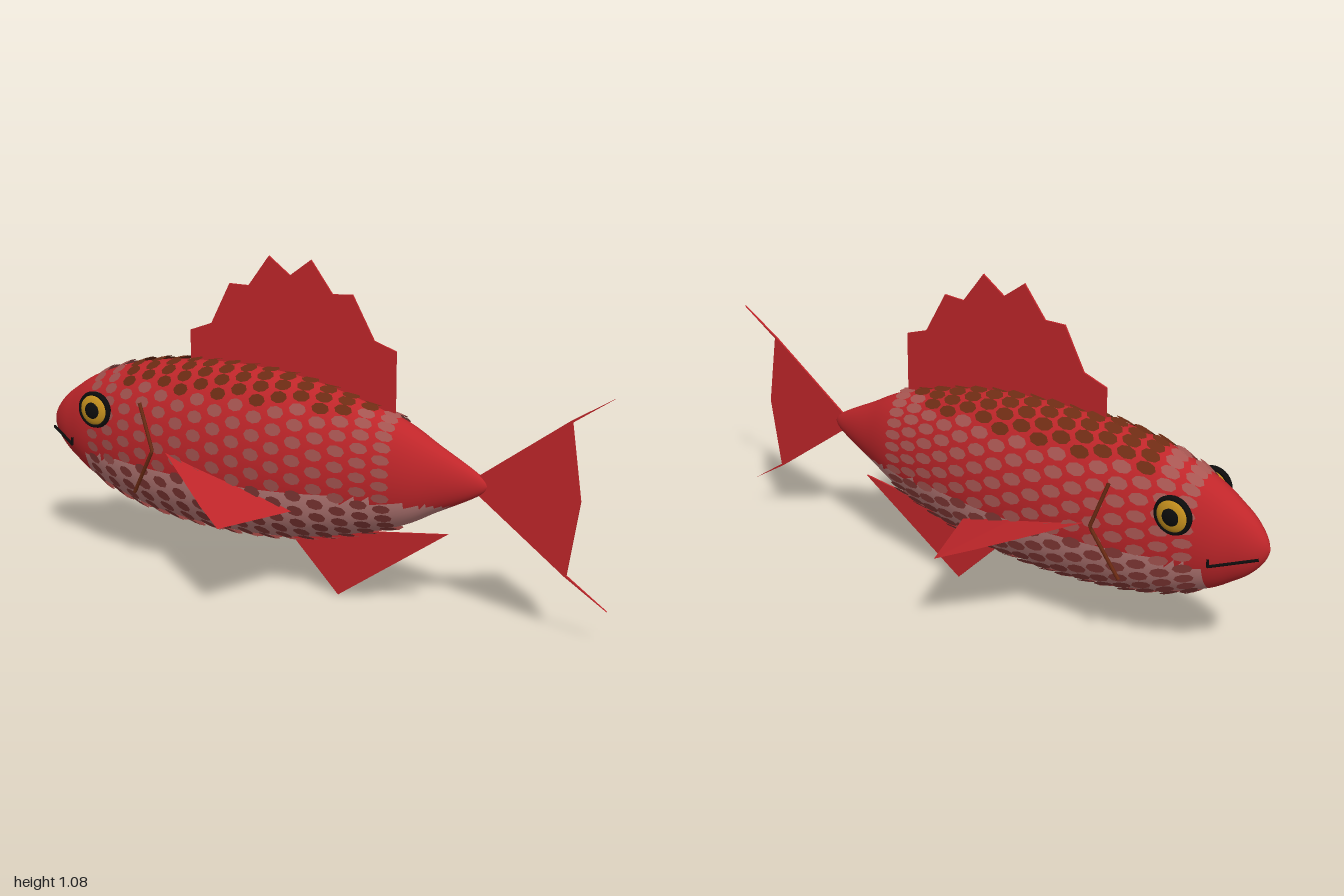
import * as THREE from 'three';
import { mergeGeometries } from 'three/addons/utils/BufferGeometryUtils.js';

const mat = (name, color, side = THREE.FrontSide) => {
  const m = new THREE.MeshStandardMaterial({ color, side });
  m.name = name;
  return m;
};
const CENTER_Y = 0.44;
const WIDTH = 0.52; // body width relative to its height

// half height of the body along x
const profile = new THREE.SplineCurve([
  [-1, 0], [-0.985, 0.04], [-0.95, 0.085], [-0.9, 0.125], [-0.8, 0.185], [-0.6, 0.25],
  [-0.3, 0.28], [0, 0.26], [0.3, 0.18], [0.45, 0.105], [0.58, 0.035], [0.613, 0],
].map(([x, r]) => new THREE.Vector2(x, r))).getPoints(66);

function halfHeight(x) {
  const i = Math.max(1, profile.findIndex((p) => p.x >= x));
  const a = profile[i - 1], b = profile[i];
  return a.y + ((b.y - a.y) * (x - a.x)) / (b.x - a.x);
}

export function createModel() {
  const group = new THREE.Group();
  const red = mat('red', 0xc0262a, THREE.DoubleSide);
  const pink = mat('belly pink', 0xc07f7c, THREE.DoubleSide);
  const rose = mat('side scale rose', 0xa85652, THREE.DoubleSide);
  const maroon = mat('belly scale maroon', 0x8a3c39, THREE.DoubleSide);
  const brown = mat('back brown', 0x6e2c14, THREE.DoubleSide);
  const gold = mat('iris gold', 0xc8921e);
  const black = mat('black', 0x0c0c0c);
  const add = (name, geometry, material) => {
    const mesh = new THREE.Mesh(geometry, material);
    mesh.name = name;
    group.add(mesh);
    return mesh;
  };

  // body, with its underside as a second material group
  const lathePoints = profile.map((p) => new THREE.Vector2(Math.max(p.y, 0), p.x));
  const body = new THREE.LatheGeometry(lathePoints, 40);
  body.rotateZ(-Math.PI / 2).scale(1, 1, WIDTH).translate(0, CENTER_Y, 0);
  const pos = body.attributes.position, index = body.index.array;
  const upper = [], lower = [];
  for (let i = 0; i < index.length; i += 3) {
    const tri = [index[i], index[i + 1], index[i + 2]];
    const x = tri.reduce((s, v) => s + pos.getX(v), 0) / 3;
    const y = tri.reduce((s, v) => s + pos.getY(v), 0) / 3;
    (y < 0.36 && x > -0.82 ? lower : upper).push(...tri);
  }
  body.setIndex([...upper, ...lower]);
  body.addGroup(0, upper.length, 0);
  body.addGroup(upper.length, lower.length, 1);
  add('body', body, [red, pink]);

  // staggered rings of scales, tipped slightly outward toward the tail
  const scales = { back: [], side: [], belly: [] };
  const columns = 16, perRing = 28;
  for (let c = 0; c < columns; c++) {
    const x = -0.77 + c * 0.071;
    const r = halfHeight(x);
    const slope = (halfHeight(x + 0.01) - halfHeight(x - 0.01)) / 0.02;
    for (let k = 0; k < perRing; k++) {
      const a = ((k + (c % 2) / 2) / perRing) * Math.PI * 2;
      const cos = Math.cos(a), sin = Math.sin(a);
      const along = new THREE.Vector3(1, slope * cos, slope * sin * WIDTH).normalize();
      const around = new THREE.Vector3(0, -sin, cos * WIDTH).normalize();
      const normal = new THREE.Vector3().crossVectors(around, along).normalize();
      if (normal.y * cos + normal.z * sin < 0) {
        normal.negate();
        around.negate();
      }
      const p = new THREE.Vector3(x, CENTER_Y + r * cos, r * sin * WIDTH).addScaledVector(normal, 0.006);
      const scale = new THREE.CircleGeometry(1, 8);
      scale.scale(0.031, 0.021 * Math.min(1, 0.3 + r / 0.4), 1).rotateY(-0.14);
      const side = new THREE.Vector3().crossVectors(normal, along);
      scale.applyMatrix4(new THREE.Matrix4().makeBasis(along, side, normal).setPosition(p));
      const zone = p.y > 0.632 && x > -0.68 ? 'back' : p.y < 0.36 ? 'belly' : 'side';
      scales[zone].push(scale);
    }
  }
  add('backScales', mergeGeometries(scales.back), brown);
  add('sideScales', mergeGeometries(scales.side), rose);
  add('bellyScales', mergeGeometries(scales.belly), maroon);

  // flat fins on the middle plane
  const flatFin = (name, points) => {
    const shape = new THREE.Shape(points.map(([x, y]) => new THREE.Vector2(x, y)));
    const g = new THREE.ExtrudeGeometry(shape, { depth: 0.006, bevelEnabled: false });
    add(name, g.translate(0, 0, -0.003), red);
  };
  flatFin('dorsalFin', [
    [-0.44, 0.6], [0.3, 0.55], [0.3, 0.82], [0.225, 0.845], [0.15, 0.98], [0.08, 0.975], [0.005, 1.075],
    [-0.07, 1.02], [-0.145, 1.075], [-0.22, 0.975], [-0.29, 0.975], [-0.36, 0.84], [-0.44, 0.81],
  ]);
  flatFin('tailFin', [
    [0.54, 0.44], [0.865, 0.2], [1, 0.115], [0.87, 0.205], [0.905, 0.44], [0.87, 0.675], [1, 0.765], [0.865, 0.68],
  ]);
  flatFin('analFin', [[-0.09, 0.2], [0.105, 0], [0.485, 0.268], [0.15, 0.223]]);

  for (const s of [1, -1]) {
    const side = s > 0 ? 'left' : 'right';

    // pectoral fin, folded across its middle
    const root = [-0.47, 0.432, 0.13 * s], inner = [-0.2, 0.36, 0.12 * s], outer = [-0.2, 0.342, 0.332 * s];
    const tip = [-0.095, 0.308, 0.4 * s], rear = [0, 0.298, 0.12 * s];
    const faces = [[root, outer, inner], [inner, outer, tip], [inner, tip, rear]];
    const fin = new THREE.BufferGeometry();
    const corners = faces.flatMap(([a, b, c]) => (s > 0 ? [a, b, c] : [a, c, b])).flat();
    fin.setAttribute('position', new THREE.Float32BufferAttribute(corners, 3));
    fin.computeVertexNormals();
    add(side + 'PectoralFin', fin, red);

    // eye: golden iris, dark rim and pupil
    const eye = new THREE.Group();
    eye.name = side + 'Eye';
    eye.position.set(-0.745, 0.53, 0.122 * s);
    const eyePart = (name, geometry, material, z, depth) => {
      const m = new THREE.Mesh(geometry, material);
      m.name = name;
      m.position.z = z * s;
      m.scale.z = depth;
      eye.add(m);
    };
    eyePart('iris', new THREE.SphereGeometry(0.055, 24, 16), gold, 0, 0.36);
    eyePart('rim', new THREE.TorusGeometry(0.054, 0.008, 8, 32), black, 0, 1.4);
    eyePart('pupil', new THREE.SphereGeometry(0.032, 20, 12), black, 0.009, 0.5);
    group.add(eye);

    // gill line and mouth
    const line = (name, points, radius, material) => {
      const path = new THREE.CurvePath();
      const v = points.map(([x, y, z]) => new THREE.Vector3(x, y, z * s));
      for (let i = 1; i < v.length; i++) path.add(new THREE.LineCurve3(v[i - 1], v[i]));
      add(name, new THREE.TubeGeometry(path, 24, radius, 6), material);
    };
    line(side + 'Gill', [[-0.545, 0.585, 0.15], [-0.492, 0.435, 0.162], [-0.582, 0.275, 0.138]], 0.006, brown);
    line(side + 'Mouth', [[-0.982, 0.42, 0.035], [-0.856, 0.39, 0.105]], 0.005, black);
    line(side + 'MouthCorner', [[-0.856, 0.388, 0.105], [-0.856, 0.416, 0.105]], 0.004, black);
  }
  return group;
}
